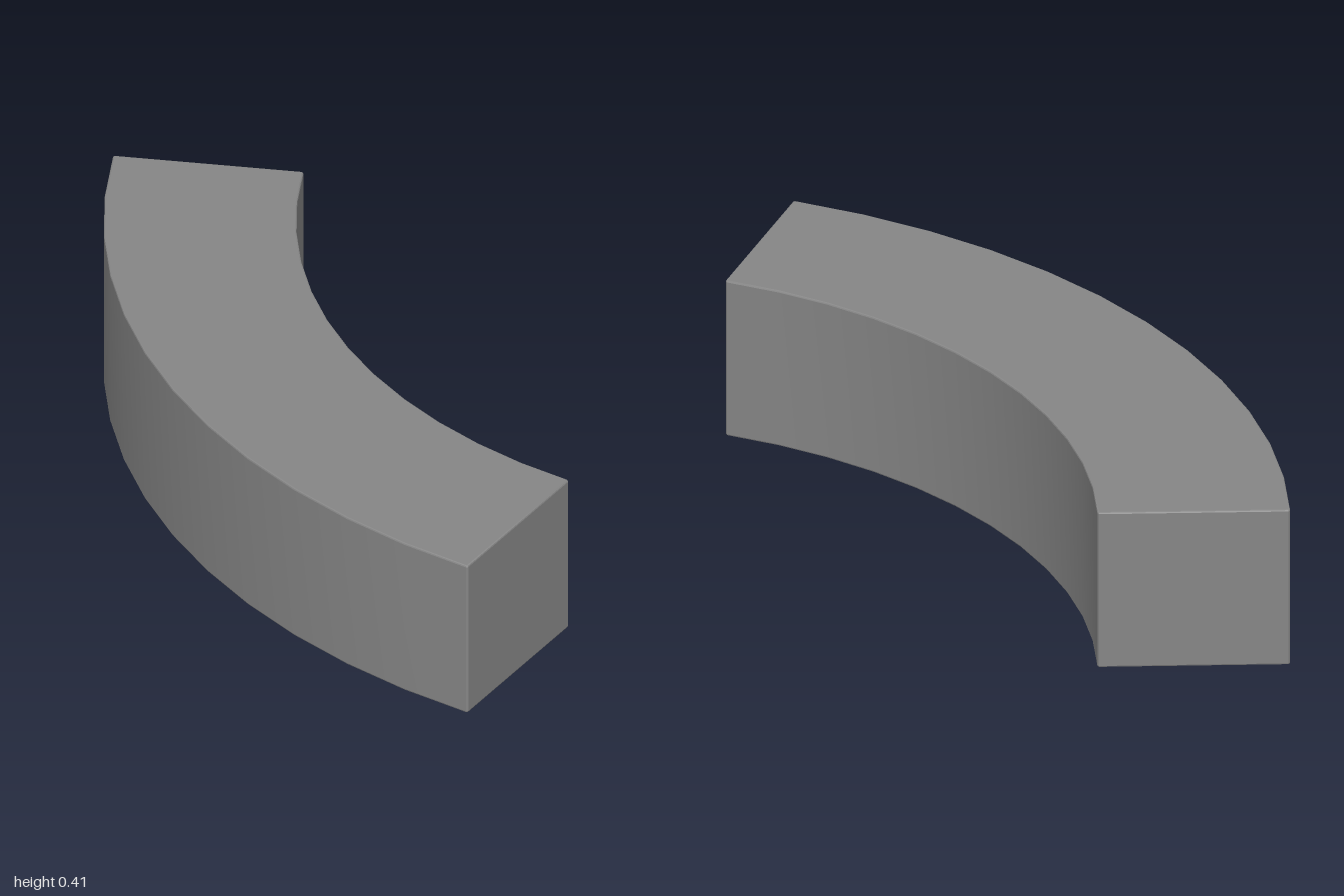
import * as THREE from 'three';
import { toCreasedNormals } from 'three/addons/utils/BufferGeometryUtils.js';

const OUTER = 1.803, INNER = 1.351, CENTRE_X = 1.465;
const HALF_ANGLE = THREE.MathUtils.degToRad(33.7);
const HEIGHT = 0.405, BEVEL = 0.004, SEGMENTS = 12;

// Point on the plan at a given radius and angle from the apex
const polar = (radius, angle) =>
  new THREE.Vector2(CENTRE_X - radius * Math.cos(angle), radius * Math.sin(angle));

// Arc whose ends stop just short, leaving a small chamfer at each corner
function arc(radius, direction) {
  const limit = HALF_ANGLE - BEVEL / radius;
  return Array.from({ length: SEGMENTS + 1 }, (_, i) =>
    polar(radius, direction * limit * ((2 * i) / SEGMENTS - 1)));
}

export function createModel() {
  const group = new THREE.Group();
  group.name = 'curvedBlock';

  // Plan outline: outer arc, end face, inner arc, end face
  const outline = new THREE.Shape([
    ...arc(OUTER, 1),
    polar(OUTER - BEVEL, HALF_ANGLE),
    polar(INNER + BEVEL, HALF_ANGLE),
    ...arc(INNER, -1),
    polar(INNER + BEVEL, -HALF_ANGLE),
    polar(OUTER - BEVEL, -HALF_ANGLE),
  ]);

  // Raise the outline into a block with finely rounded edges
  const geometry = new THREE.ExtrudeGeometry(outline, {
    depth: HEIGHT - 2 * BEVEL,
    bevelThickness: BEVEL,
    bevelSize: BEVEL,
    bevelOffset: -BEVEL,
    bevelSegments: 2,
  });
  geometry.translate(0, 0, BEVEL);
  geometry.rotateX(-Math.PI / 2);

  const block = new THREE.Mesh(
    toCreasedNormals(geometry, Math.PI / 9),
    new THREE.MeshStandardMaterial({ color: 0x868686 }),
  );
  block.name = 'arcSegment';
  group.add(block);
  return group;
}
